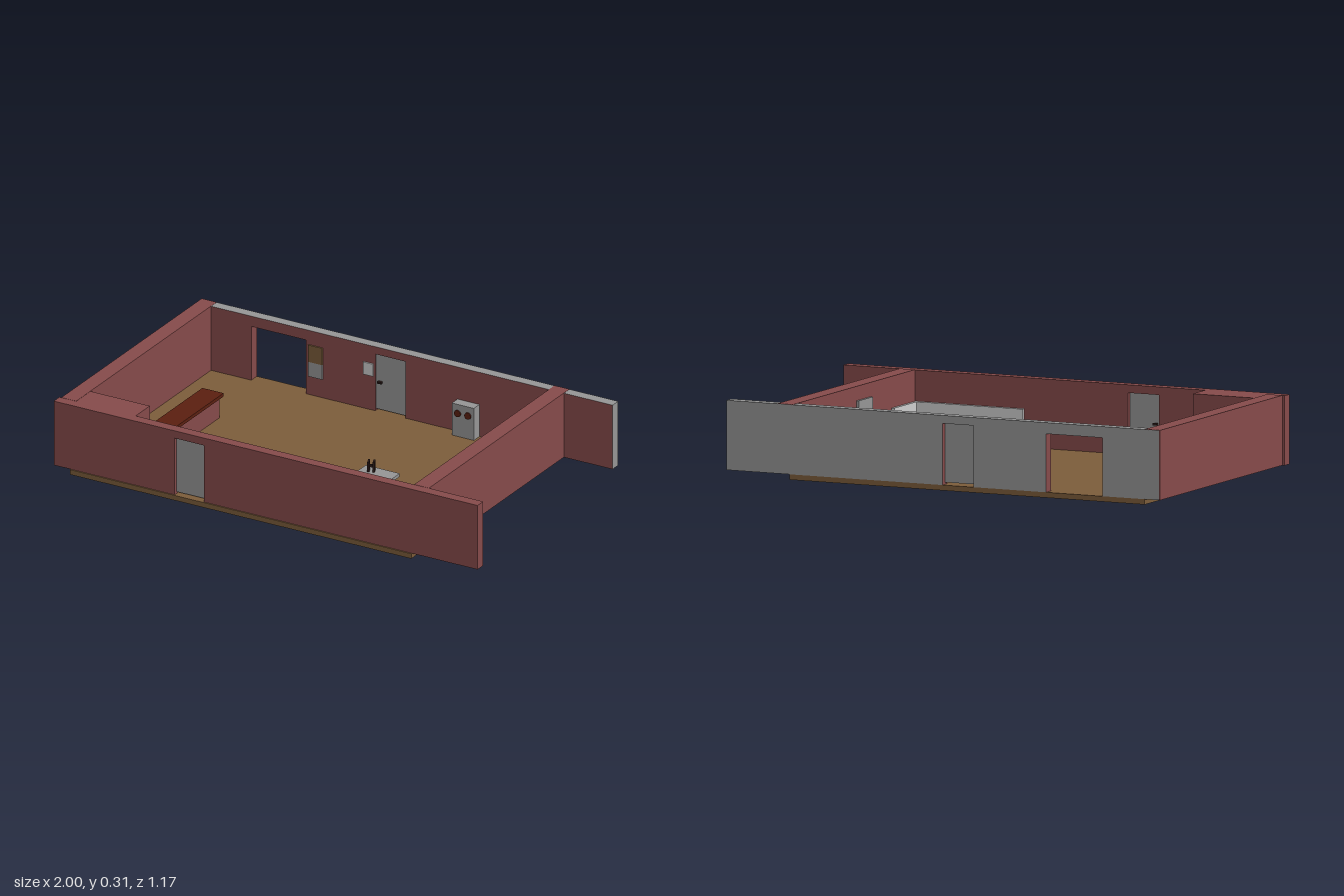
import * as THREE from 'three';

const mat = (name, color) => {
  const m = new THREE.MeshStandardMaterial({ color });
  m.name = name;
  return m;
};

export function createModel() {
  const red = mat('wallRed', 0x854a4a);
  const grey = mat('grey', 0x959595);
  const brown = mat('floorBrown', 0x7b5c3a);
  const darkBrown = mat('darkWood', 0x5a1f10);
  const white = mat('sofaWhite', 0xcccccc);
  const dark = mat('darkMetal', 0x2a1a18);

  const model = new THREE.Group();
  model.name = 'room';

  // Box given by its limits on each axis
  const box = (name, material, [x0, x1], [y0, y1], [z0, z1], parent = model) => {
    const mesh = new THREE.Mesh(new THREE.BoxGeometry(x1 - x0, y1 - y0, z1 - z0), material);
    mesh.position.set((x0 + x1) / 2, (y0 + y1) / 2, (z0 + z1) / 2);
    mesh.name = name;
    parent.add(mesh);
    return mesh;
  };
  const group = (name) => {
    const g = new THREE.Group();
    g.name = name;
    model.add(g);
    return g;
  };

  const F = 0.022; // floor level
  const H = 0.308; // wall top

  box('floor', brown, [-0.92, 0.69], [0, F], [-0.585, 0.585]);

  // Front wall with a doorway
  const front = group('frontWall');
  const fz = [0.535, 0.58];
  box('frontPier', red, [-1, -0.43], [F, H], fz, front);
  box('frontPier', red, [-0.29, 1], [F, H], fz, front);
  box('frontLintel', red, [-0.43, -0.29], [0.275, H], fz, front);

  // Back wall: red inside and in the openings, grey elsewhere
  const back = group('backWall');
  const bz = [-0.585, -0.54];
  const sides = (right, left, bottom) => [right, left, grey, bottom, red, grey];
  box('backPier', sides(red, grey, grey), [-0.985, -0.73], [F, H], bz, back);
  box('backPier', sides(red, red, grey), [-0.473, -0.145], [F, H], bz, back);
  box('backPier', sides(grey, red, grey), [-0.003, 0.975], [F, H], bz, back);
  box('openingLintel', sides(red, red, red), [-0.73, -0.473], [0.262, H], bz, back);
  box('doorLintel', sides(red, red, red), [-0.145, -0.003], [0.275, H], bz, back);

  // Side walls and corner block
  box('rightWall', red, [-0.99, -0.92], [F, 0.309], [-0.584, 0.536]);
  box('leftWall', red, [0.675, 0.745], [F, 0.309], [-0.584, 0.536]);
  box('cornerBlock', red, [-0.93, -0.64], [F, H], [0.422, 0.54]);

  // Doors with inside handles
  const door = (name, x0, x1, z, side) => {
    const g = group(name);
    box('doorLeaf', grey, [x0, x1], [0.03, 0.275], [z - 0.006, z + 0.006], g);
    const hx = x0 + 0.018;
    const za = z + side * 0.005, zb = z + side * 0.018;
    box('handle', dark, [hx - 0.006, hx + 0.012], [0.148, 0.157],
      [Math.min(za, zb), Math.max(za, zb)], g);
  };
  door('frontDoor', -0.43, -0.29, 0.558, -1);
  door('backDoor', -0.145, -0.003, -0.553, 1);

  // Bar counter
  box('counterBody', red, [-0.73, -0.655], [F, 0.113], [-0.16, 0.422]);
  box('counterTop', darkBrown, [-0.745, -0.645], [0.113, 0.128], [-0.175, 0.422]);

  // Corner sofa: two runs of base and cushion with thin backs
  const sofa = group('sofa');
  for (const [name, y0, y1] of [['sofaBase', F, 0.052], ['sofaCushion', 0.054, 0.084]]) {
    box(name, white, [0.18, 0.672], [y0, y1], [0.422, 0.534], sofa);
    box(name, white, [0.557, 0.672], [y0, y1], [0.315, 0.422], sofa);
  }
  box('sofaBack', white, [0.18, 0.672], [0.084, 0.18], [0.52, 0.534], sofa);
  box('sofaBack', white, [0.66, 0.672], [0.084, 0.18], [0.315, 0.52], sofa);

  // Coffee table
  const table = group('coffeeTable');
  box('tableTop', grey, [0.18, 0.34], [0.088, 0.102], [0.085, 0.25], table);
  for (const x of [0.202, 0.318]) {
    for (const z of [0.107, 0.228]) {
      box('tableLeg', darkBrown, [x - 0.006, x + 0.006], [F, 0.088], [z - 0.006, z + 0.006], table);
    }
  }

  // Small ornament on the table
  const ornament = group('ornament');
  ornament.position.set(0.228, 0.102, 0.122);
  ornament.rotation.y = 0.4;
  for (const x of [-0.011, 0.011]) {
    box('ornamentPost', dark, [x - 0.004, x + 0.004], [0, 0.045], [-0.014, 0.014], ornament);
  }
  box('ornamentBar', dark, [-0.011, 0.011], [0.018, 0.028], [-0.005, 0.005], ornament);

  // Wall cabinets with a pair of round knobs; the front faces local +z
  const cabinet = (name, x, z, turn, depth, rim) => {
    const g = group(name);
    g.position.set(x, 0, z);
    g.rotation.y = turn;
    box('cabinetBody', grey, [-0.052, 0.052], [F, 0.165], [0, depth], g);
    for (const kx of [-0.024, 0.024]) {
      const knob = (r, len, m) => {
        const k = new THREE.Mesh(new THREE.CylinderGeometry(r, r, len, 16).rotateX(Math.PI / 2), m);
        k.position.set(kx, 0.125, depth + len / 2);
        k.name = 'knob';
        g.add(k);
      };
      if (rim) knob(0.014, 0.012, white);
      knob(rim ? 0.007 : 0.015, rim ? 0.018 : 0.005, darkBrown);
    }
  };
  cabinet('backCabinet', 0.295, -0.54, 0, 0.045, false);
  cabinet('cornerCabinet', 0.676, -0.464, -Math.PI / 2, 0.101, true);

  // Panels hung on the walls
  box('brownPanel', brown, [-0.46, -0.392], [0.17, 0.245], [-0.54, -0.534]);
  box('greyPanel', grey, [-0.46, -0.392], [0.105, 0.17], [-0.54, -0.534]);
  box('smallPanel', white, [-0.2, -0.153], [0.175, 0.23], [-0.54, -0.534]);
  box('wallScreen', grey, [0.665, 0.675], [0.15, 0.25], [0, 0.13]);
  box('screenButton', dark, [0.661, 0.666], [0.155, 0.162], [0.06, 0.07]);

  return model;
}
